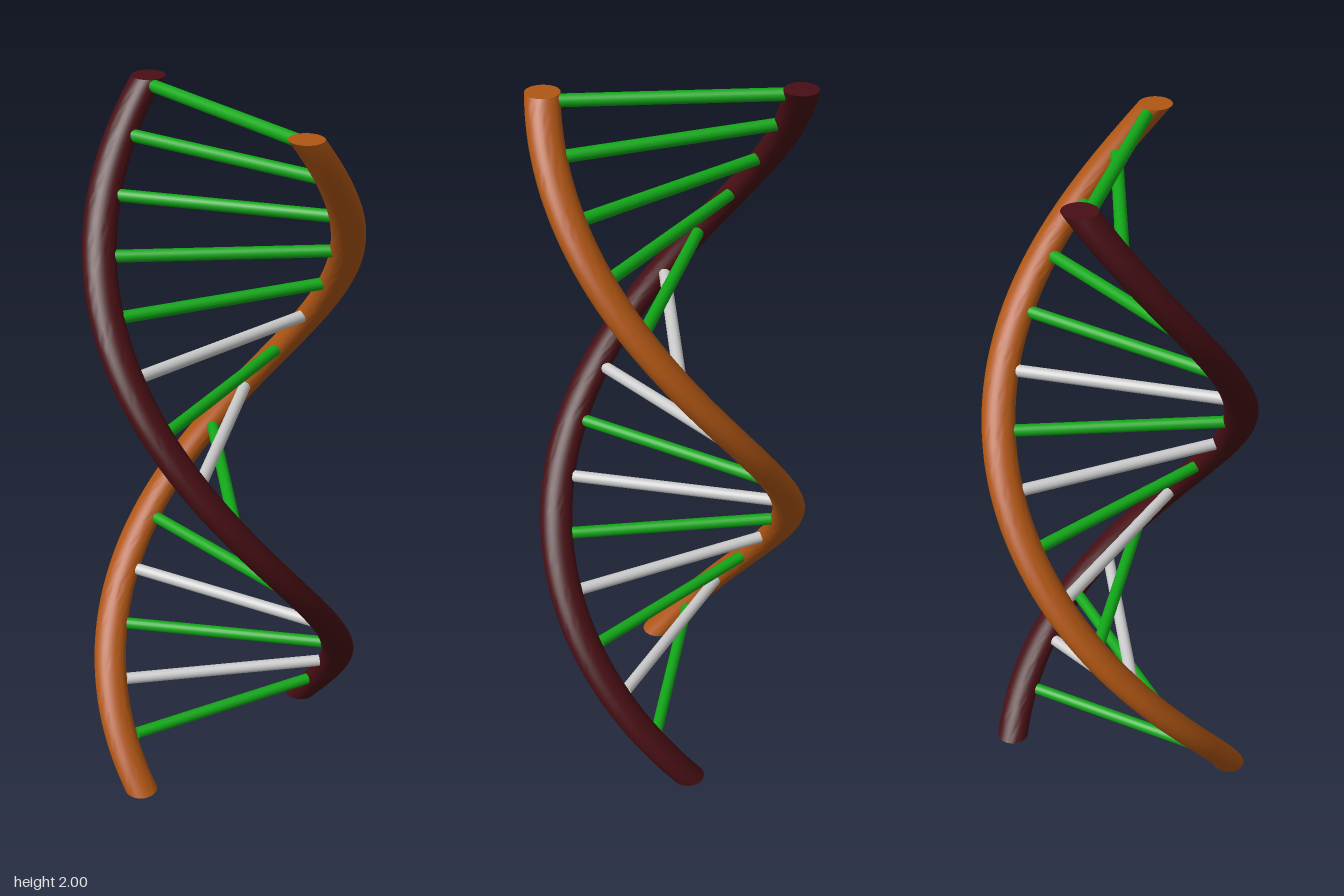
import * as THREE from 'three';
import { toCreasedNormals } from 'three/addons/utils/BufferGeometryUtils.js';

const HEIGHT = 2;
const TWIST = Math.PI / 1.303; // radians of turn per unit of height

// Angle of the first strand at height y, and the slightly tapering helix radius
const angleAt = (y) => (y - 1.54) * TWIST;
const radiusAt = (y) => 0.34 - 0.009 * y;

// A strand is a cylinder whose level circular slices are shifted along the helix
function strandGeometry(phase) {
  const geo = new THREE.CylinderGeometry(0.0455, 0.047, HEIGHT, 32, 96);
  geo.translate(0, HEIGHT / 2, 0);
  const pos = geo.attributes.position;
  for (let i = 0; i < pos.count; i++) {
    const y = pos.getY(i);
    const a = angleAt(y) + phase;
    const r = radiusAt(y);
    pos.setX(i, pos.getX(i) + r * Math.cos(a));
    pos.setZ(i, pos.getZ(i) + r * Math.sin(a));
  }
  return toCreasedNormals(geo, 0.6);
}

export function createModel() {
  const model = new THREE.Group();
  model.name = 'doubleHelix';

  const material = (color) => new THREE.MeshStandardMaterial({ color });
  const orange = material(0xb05614);
  const maroon = material(0x470f14);
  const green = material(0x12a818);
  const grey = material(0xcccccc);

  // Two strands, half a turn apart
  [['orangeStrand', 0, orange], ['maroonStrand', Math.PI, maroon]].forEach(([name, phase, mat]) => {
    const strand = new THREE.Mesh(strandGeometry(phase), mat);
    strand.name = name;
    model.add(strand);
  });

  // Rungs turning with the strands; the top one sits just under the cut ends
  const rungs = new THREE.Group();
  rungs.name = 'rungs';
  const rungGeo = new THREE.CylinderGeometry(0.017, 0.017, 0.58, 20);
  rungGeo.rotateZ(Math.PI / 2);
  for (let i = 0; i < 15; i++) {
    const y = Math.min(0.122 + 0.1342 * i, HEIGHT - 0.018);
    const isGrey = i % 2 === 1 && i < 10;
    const rung = new THREE.Mesh(rungGeo, isGrey ? grey : green);
    rung.name = isGrey ? 'greyRung' : 'greenRung';
    rung.position.y = y;
    rung.rotation.y = -angleAt(y);
    rungs.add(rung);
  }
  model.add(rungs);

  return model;
}
